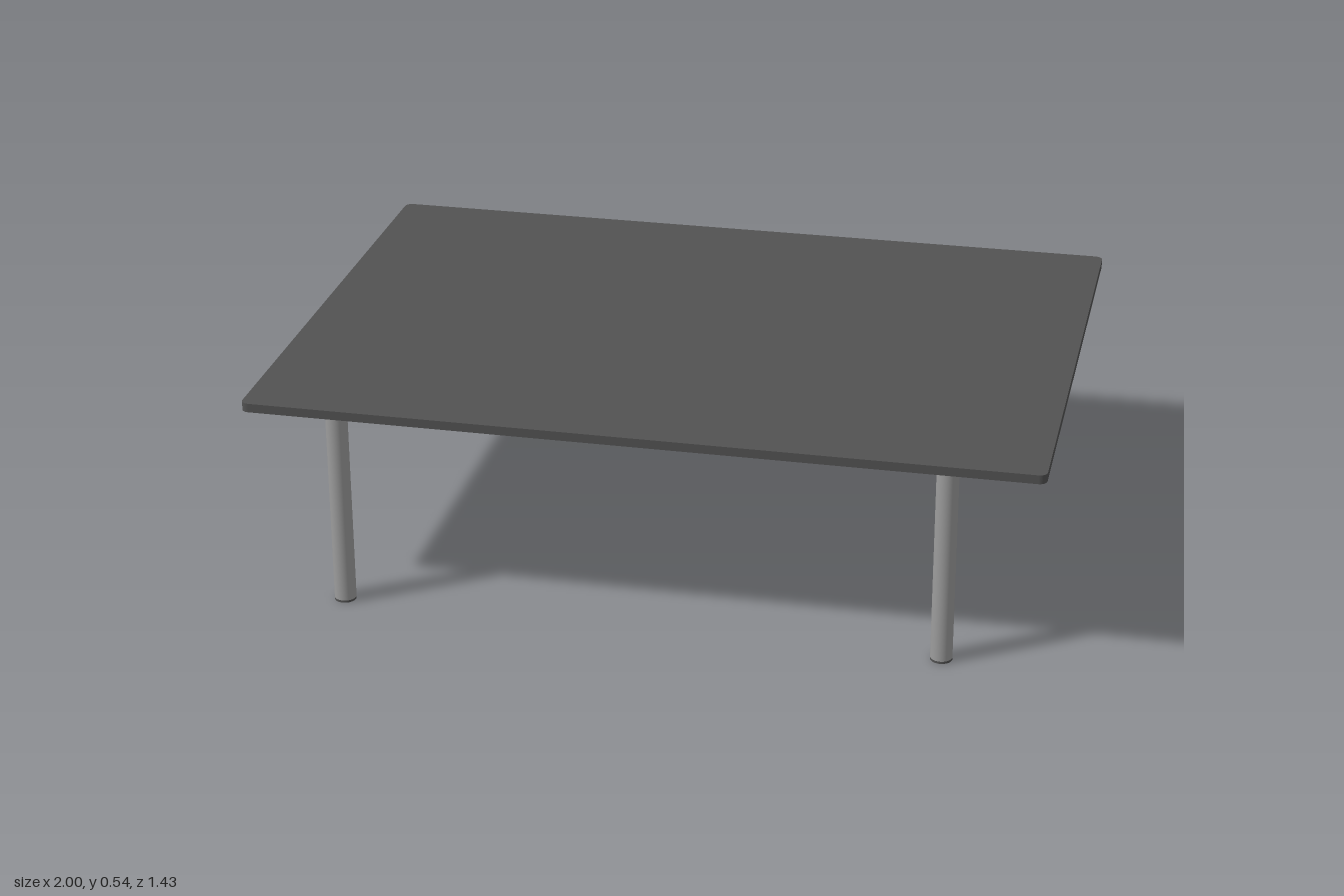
import * as THREE from 'three';

const TOP_Y = 0.535, THICK = 0.023, HALF_X = 1, HALF_Z = 0.713, CORNER = 0.02;
const LEG_X = 0.762, LEG_Z = 0.68, LEG_R = 0.0275, FOOT_H = 0.006;

// Rectangle with rounded corners
function roundedRect(hx, hz, r) {
  const s = new THREE.Shape();
  s.absarc(hx - r, hz - r, r, 0, Math.PI / 2);
  s.absarc(-hx + r, hz - r, r, Math.PI / 2, Math.PI);
  s.absarc(-hx + r, -hz + r, r, Math.PI, Math.PI * 1.5);
  s.absarc(hx - r, -hz + r, r, Math.PI * 1.5, Math.PI * 2);
  s.closePath();
  return s;
}

export function createModel() {
  const table = new THREE.Group();
  table.name = 'table';
  const dark = new THREE.MeshStandardMaterial({ color: 0x525252 });
  const metal = new THREE.MeshStandardMaterial({ color: 0x9c9c9c });

  // Thin slab top
  const slab = new THREE.ExtrudeGeometry(roundedRect(HALF_X, HALF_Z, CORNER), {
    depth: THICK, bevelEnabled: false, curveSegments: 6,
  });
  slab.rotateX(-Math.PI / 2);
  const top = new THREE.Mesh(slab, dark);
  top.name = 'tableTop';
  top.position.y = TOP_Y - THICK;
  table.add(top);

  // Four round legs, each on a thin foot pad
  const legH = TOP_Y - THICK - FOOT_H;
  const legGeo = new THREE.CylinderGeometry(LEG_R, LEG_R, legH, 32);
  const footGeo = new THREE.CylinderGeometry(LEG_R, LEG_R, FOOT_H, 32);
  for (const [sz, end] of [[1, 'front'], [-1, 'back']]) {
    for (const [sx, side] of [[1, 'Left'], [-1, 'Right']]) {
      const group = new THREE.Group();
      group.name = `${end}${side}Leg`;
      group.position.set(sx * LEG_X, 0, sz * LEG_Z);
      const leg = new THREE.Mesh(legGeo, metal);
      leg.name = 'legTube';
      leg.position.y = FOOT_H + legH / 2;
      const foot = new THREE.Mesh(footGeo, dark);
      foot.name = 'footPad';
      foot.position.y = FOOT_H / 2;
      group.add(leg, foot);
      table.add(group);
    }
  }
  return table;
}
